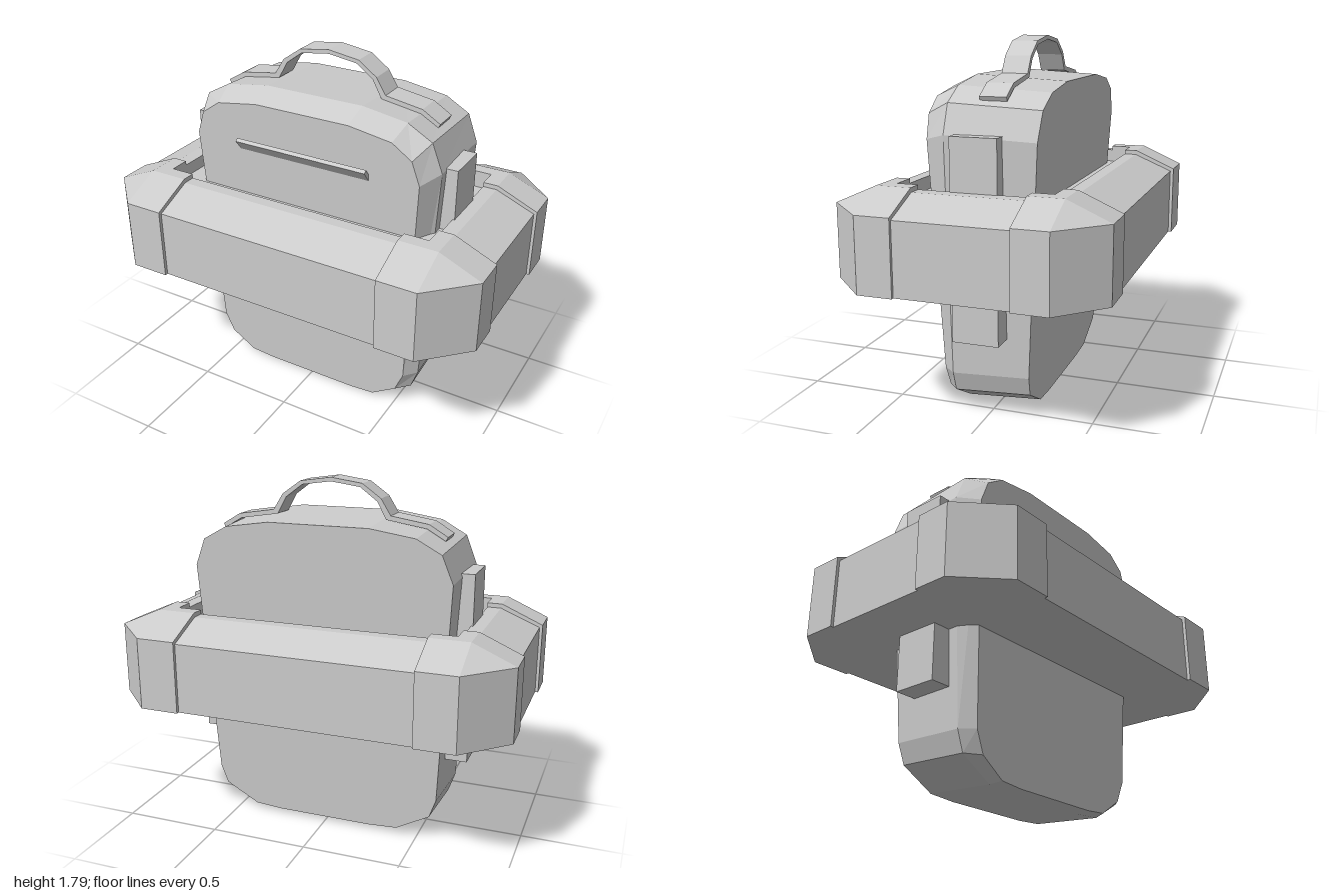
import * as THREE from 'three';

const material = new THREE.MeshStandardMaterial({ color: 0xcccccc, flatShading: true, side: THREE.DoubleSide });

// Skin a list of equal-length cross-sections, cap both ends and turn the faces outward.
function loft(sections) {
  const triangles = [];
  const n = sections[0].length;
  for (let s = 0; s < sections.length - 1; s++) {
    const a = sections[s], b = sections[s + 1];
    for (let i = 0; i < n; i++) {
      const j = (i + 1) % n;
      triangles.push([a[i], a[j], b[j]], [a[i], b[j], b[i]]);
    }
  }
  const first = sections[0], last = sections[sections.length - 1];
  for (let i = 1; i < n - 1; i++) {
    triangles.push([first[0], first[i + 1], first[i]], [last[0], last[i], last[i + 1]]);
  }
  let volume = 0;
  for (const [a, b, c] of triangles) {
    volume += new THREE.Vector3(...a).dot(new THREE.Vector3(...b).cross(new THREE.Vector3(...c)));
  }
  if (volume < 0) triangles.forEach((t) => t.reverse());
  const geometry = new THREE.BufferGeometry();
  geometry.setAttribute('position', new THREE.Float32BufferAttribute(triangles.flat(2), 3));
  geometry.computeVertexNormals();
  return geometry;
}

const mirrorX = (half) => [...half, ...half.map(([x, y]) => [-x, y]).reverse()];

export function createModel() {
  const model = new THREE.Group();
  const add = (name, geometry, x = 0, y = 0, z = 0) => {
    const mesh = new THREE.Mesh(geometry, material);
    mesh.name = name;
    mesh.position.set(x, y, z);
    model.add(mesh);
    return mesh;
  };

  // Case body: bevelled front, slightly tapered back, thinner toward the bottom
  const frontOutline = mirrorX([[0.25, 0.015], [0.38, 0.025], [0.51, 0.11], [0.555, 0.215],
    [0.61, 1.34], [0.57, 1.455], [0.47, 1.525], [0.25, 1.56]]);
  const rimOutline = mirrorX([[0.25, 0.005], [0.4, 0.015], [0.575, 0.115], [0.61, 0.215],
    [0.67, 1.37], [0.615, 1.51], [0.49, 1.58], [0.26, 1.615]]);
  add('caseBody', loft([
    frontOutline.map(([x, y]) => [x, y, 0.22 + 0.041 * y]),
    rimOutline.map(([x, y]) => [x, y, 0.165]),
    rimOutline.map(([x, y]) => [x * 0.985, 0.8 + (y - 0.8) * 0.97, -0.205 - 0.0515 * y]),
  ]));

  // Arched handle with strap ends that follow the top of the case
  const handleOuter = mirrorX([[0.587, 1.54], [0.495, 1.595], [0.305, 1.625], [0.255, 1.705], [0.16, 1.772], [0, 1.795]]);
  const handleInner = mirrorX([[0.577, 1.52], [0.485, 1.573], [0.283, 1.605], [0.236, 1.69], [0.15, 1.754], [0, 1.775]]);
  const handleShape = new THREE.Shape(
    [...handleOuter, ...handleInner.reverse()]
      .filter(([x], i, all) => i === 0 || x !== 0 || all[i - 1][0] !== 0)
      .map(([x, y]) => new THREE.Vector2(x, y)));
  add('handle', new THREE.ExtrudeGeometry(handleShape, { depth: 0.13, bevelEnabled: false }), 0, 0, -0.107);

  // Tilted ledge across the front
  const ledge = add('frontLedge', new THREE.BoxGeometry(0.71, 0.02, 0.075), 0, 1.335, 0.285);
  ledge.rotation.x = -0.9;

  // Upright side blocks
  for (const side of [1, -1]) {
    add(side > 0 ? 'leftSideBlock' : 'rightSideBlock', new THREE.BoxGeometry(0.15, 0.955, 0.226), side * 0.65, 0.8975, 0);
  }

  // Surrounding frame: floor panel, four bars and four chamfered corner guards
  const base = 0.695;
  add('framePanel', new THREE.BoxGeometry(1.44, 0.365, 0.76), 0, base + 0.1825, 0);

  // One slice through the frame, from inner wall over the ridge to outer wall
  const slice = (inner, ridge, outer, ridgeY, outerY) => [
    [inner[0], base, inner[1]], [inner[0], ridgeY, inner[1]], [ridge[0], ridgeY, ridge[1]],
    [outer[0], outerY, outer[1]], [outer[0], base, outer[1]],
  ];

  for (const s of [1, -1]) {
    add(s > 0 ? 'frontBar' : 'backBar', loft([-0.6, 0.6].map((x) =>
      slice([x, s * 0.375], [x, s * 0.437], [x, s * 0.635], 1.125, 1.042))));
    add(s > 0 ? 'leftBar' : 'rightBar', loft([-0.28, 0.28].map((z) =>
      slice([s * 0.715, z], [s * 0.785, z], [s * 0.985, z], 1.125, 1.042))));

    for (const t of [1, -1]) {
      const corner = (inner, ridge, outer) =>
        slice(...[inner, ridge, outer].map(([x, z]) => [s * x, t * z]), 1.147, 1.055);
      add('cornerGuard', loft([
        corner([0.592, 0.375], [0.592, 0.443], [0.592, 0.652]),
        corner([0.715, 0.375], [0.79, 0.443], [0.79, 0.652]),
        corner([0.715, 0.375], [0.79, 0.443], [1, 0.443]),
        corner([0.715, 0.272], [0.79, 0.272], [1, 0.272]),
      ]));
    }
  }

  return model;
}
